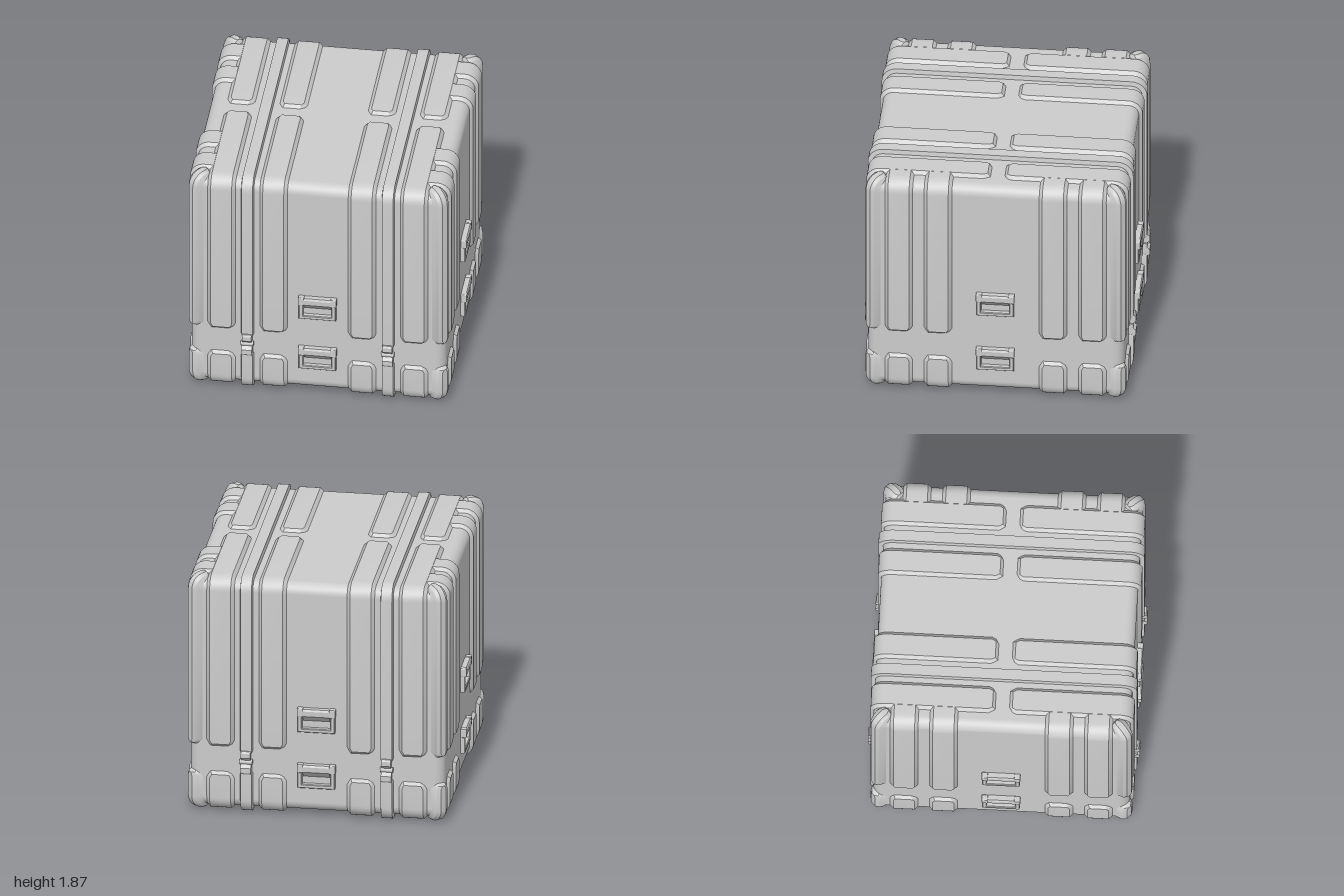
import * as THREE from 'three';
import { toCreasedNormals } from 'three/addons/utils/BufferGeometryUtils.js';
import { RoundedBoxGeometry } from 'three/addons/geometries/RoundedBoxGeometry.js';

const HALF = 0.945, TOP = 1.835, BOTTOM = 0.035, R = 0.08;
const material = new THREE.MeshStandardMaterial({ color: 0xcccccc, side: THREE.DoubleSide });

function add(parent, geometry, name, x = 0, y = 0, z = 0) {
  const mesh = new THREE.Mesh(geometry, material);
  mesh.name = name;
  mesh.position.set(x, y, z);
  parent.add(mesh);
  return mesh;
}

// Rib cross-section: [sideways offset, height above the shell]
const trapezoid = (w, h, bevel) => [[-w, -0.005], [-w + bevel, h], [w - bevel, h], [w, -0.005]];

// Raised rib that climbs a wall (local +x) and bends over the top (dir 1) or under the bottom (dir -1)
function ribGeometry({ profile, dir, yStart, uEnd, v = 0, wall = HALF, taper = 0.028, inset = 0.03, sink = -0.008, taperEnd = true }) {
  const yFace = dir > 0 ? TOP : BOTTOM;
  const steps = [[0, inset, true], [taper, inset * 0.5, false], [taper * 2, 0, false]];
  const rings = [];
  for (const [d, cut, flat] of steps) rings.push([wall, yStart + dir * d, 0, cut, flat]);
  for (let i = 0; i <= 8; i++) {
    const a = (i / 8) * Math.PI / 2;
    rings.push([wall - R + R * Math.cos(a), yFace - dir * R * (1 - Math.sin(a)), a, 0, false]);
  }
  if (taperEnd) for (const [d, cut, flat] of steps.slice().reverse()) rings.push([uEnd + d, yFace, Math.PI / 2, cut, flat]);
  else rings.push([uEnd, yFace, Math.PI / 2, 0, false]);

  const pos = [], idx = [], n = profile.length;
  for (const [u, y, a, cut, flat] of rings) {
    for (const [s, h] of profile) {
      const height = flat ? Math.min(h, sink) : h;
      const side = Math.sign(s) * Math.max(Math.abs(s) - cut, 0.002);
      pos.push(u + Math.cos(a) * height, y + dir * Math.sin(a) * height, v + side);
    }
  }
  for (let i = 0; i < rings.length - 1; i++) {
    for (let j = 0; j < n - 1; j++) {
      const a = i * n + j, b = a + n, c = a + 1, d = b + 1;
      if (dir > 0) idx.push(a, b, c, b, d, c);
      else idx.push(a, c, b, b, c, d);
    }
  }
  const geometry = new THREE.BufferGeometry();
  geometry.setAttribute('position', new THREE.Float32BufferAttribute(pos, 3));
  geometry.setIndex(idx);
  return toCreasedNormals(geometry, 0.45);
}

// Prism with its outline in the local x-y plane, centred on z
function prism(points, width) {
  const shape = new THREE.Shape(points.map(([x, y]) => new THREE.Vector2(x, y)));
  return new THREE.ExtrudeGeometry(shape, { depth: width, bevelEnabled: false }).translate(0, 0, -width / 2);
}

// Carrying handle: raised frame, angled grip and end lugs
function makeHandle(y) {
  const handle = new THREE.Group();
  handle.name = 'handle';
  handle.position.set(HALF, y, 0);
  const rect = (Type, w, y0, y1) => new Type([[-w, y0], [w, y0], [w, y1], [-w, y1]].map(p => new THREE.Vector2(...p)));
  const frame = rect(THREE.Shape, 0.138, 0, 0.18);
  frame.holes.push(rect(THREE.Path, 0.105, 0.03, 0.15));
  add(handle, new THREE.ExtrudeGeometry(frame, { depth: 0.03, bevelEnabled: true, bevelThickness: 0.006, bevelSize: 0.005, bevelOffset: -0.005, bevelSegments: 1 })
    .rotateY(Math.PI / 2), 'handleFrame');
  add(handle, prism([[0, 0.085], [0.006, 0.085], [0.044, 0.13], [0.046, 0.17], [0.038, 0.185], [0, 0.185]], 0.2), 'handleGrip');
  for (const side of [-1, 1])
    add(handle, new RoundedBoxGeometry(0.046, 0.068, 0.045, 2, 0.007), 'handleLug', 0.023, 0.157, side * 0.12);
  return handle;
}

// Latch: two hooked halves around a pivot
function makeLatch(v) {
  const latch = new THREE.Group();
  latch.name = 'latch';
  latch.position.set(HALF, 0.415, v);
  for (const s of [1, -1]) {
    const hook = [[-0.01, 0.015], [0.03, 0.015], [0.055, 0.04], [0.055, 0.075], [0.046, 0.09], [-0.01, 0.09]];
    add(latch, prism(hook.map(([x, y]) => [x, s * y]), s > 0 ? 0.07 : 0.078), s > 0 ? 'latchHook' : 'latchBase');
  }
  add(latch, new THREE.CylinderGeometry(0.02, 0.02, 0.095, 16).rotateX(Math.PI / 2), 'latchPivot', 0.018);
  add(latch, new THREE.BoxGeometry(0.02, 0.16, 0.06), 'latchPlate', 0.004);
  return latch;
}

export function createModel() {
  const model = new THREE.Group();
  model.name = 'transportCase';

  // Shell
  add(model, new RoundedBoxGeometry(HALF * 2, TOP - BOTTOM, HALF * 2, 6, R), 'shell', 0, (TOP + BOTTOM) / 2, 0);

  const levels = [{ dir: 1, yStart: 0.515, label: 'lid' }, { dir: -1, yStart: 0.328, label: 'base' }];
  const ribProfile = trapezoid(0.108, 0.024, 0.03);
  const bandProfile = trapezoid(0.048, 0.035, 0.007);
  const cornerProfile = [[-0.075, -0.05], [-0.047, 0.012], [-0.022, 0.03], [0.022, 0.03], [0.047, 0.012], [0.075, -0.05]];
  const cornerWall = (HALF - R) * Math.SQRT2 + R;

  for (let k = 0; k < 4; k++) {
    const frontOrBack = k % 2 === 1;
    const wall = new THREE.Group();
    wall.name = ['rightFittings', 'frontFittings', 'leftFittings', 'backFittings'][k];
    if (k === 0) wall.name = 'leftFittings';
    if (k === 2) wall.name = 'rightFittings';
    wall.rotation.y = -k * Math.PI / 2;
    model.add(wall);

    for (const { dir, yStart, label } of levels) {
      for (const side of [-1, 1]) {
        // Wall ribs: long ones cross the top, short ones stop against them
        for (const v of frontOrBack ? [0.328, 0.715] : [0.425, 0.715]) {
          add(wall, ribGeometry({
            profile: ribProfile, dir, yStart, v: side * v,
            uEnd: frontOrBack ? 0.045 : 0.795, taperEnd: frontOrBack,
          }), label + 'Rib');
        }
        // Narrow bands in line with the latches
        if (frontOrBack) {
          add(wall, ribGeometry({
            profile: bandProfile, dir, yStart: dir > 0 ? 0.48 : 0.34, v: side * 0.522,
            uEnd: 0, taper: 0.008, inset: 0.005, taperEnd: false,
          }), label + 'Band');
        }
      }
    }

    // Handles and latches
    for (const y of [0.237, frontOrBack ? 0.68 : 0.72]) wall.add(makeHandle(y));
    if (frontOrBack) for (const side of [-1, 1]) wall.add(makeLatch(side * 0.522));

    // Corner guards
    const corner = new THREE.Group();
    corner.name = 'cornerGuard';
    corner.rotation.y = -(k + 0.5) * Math.PI / 2;
    model.add(corner);
    for (const { dir, yStart, label } of levels) {
      add(corner, ribGeometry({
        profile: cornerProfile, dir, yStart, wall: cornerWall, uEnd: 1.165,
        taper: 0.025, inset: 0.025, sink: -0.02,
      }), label + 'CornerGuard');
    }
  }
  return model;
}
